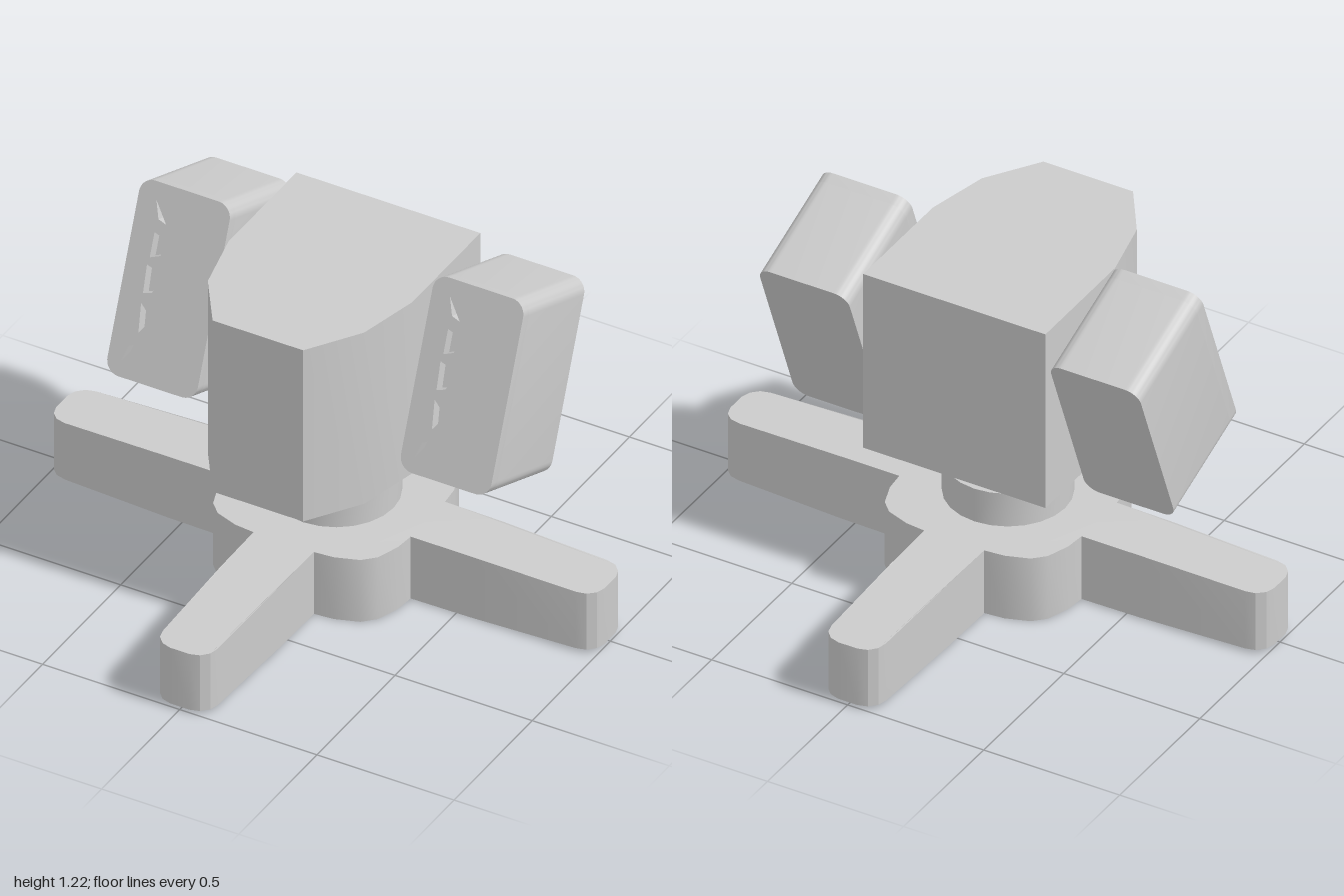
import * as THREE from 'three';
import { toCreasedNormals } from 'three/addons/utils/BufferGeometryUtils.js';

const material = new THREE.MeshStandardMaterial({ color: 0xcccccc });

function part(name, geometry, parent) {
  const mesh = new THREE.Mesh(toCreasedNormals(geometry, 0.5), material);
  mesh.name = name;
  parent.add(mesh);
  return mesh;
}

const toShape = (points) => new THREE.Shape(points.map(([x, y]) => new THREE.Vector2(x, y)));

// Upright prism from a plan outline given as [x, z]
function prism(plan, y0, y1) {
  const shape = toShape(plan.map(([x, z]) => [x, -z]));
  return new THREE.ExtrudeGeometry(shape, { depth: y1 - y0, bevelEnabled: false })
    .rotateX(-Math.PI / 2).translate(0, y0, 0);
}

function roundedRect(w, h, r) {
  const s = new THREE.Shape();
  [[w / 2 - r, h / 2 - r, 0], [r - w / 2, h / 2 - r, 1], [r - w / 2, r - h / 2, 2], [w / 2 - r, r - h / 2, 3]]
    .forEach(([x, y, q]) => s.absarc(x, y, r, q * Math.PI / 2, (q + 1) * Math.PI / 2, false));
  return s;
}

// Four-legged foot: one leg and one hub corner, repeated by quarter turns
function footGeometry() {
  const quarter = [
    [0.335, -0.11], [0.55, -0.108], [0.93, -0.1], [0.965, -0.092], [0.99, -0.068], [1, -0.035],
    [1, 0.035], [0.99, 0.068], [0.965, 0.092], [0.93, 0.1], [0.55, 0.108], [0.335, 0.11],
    [0.328, 0.18], [0.3, 0.26], [0.26, 0.3], [0.18, 0.328],
  ];
  const plan = [];
  for (let i = 0; i < 4; i++) {
    const c = Math.round(Math.cos(i * Math.PI / 2)), s = Math.round(Math.sin(i * Math.PI / 2));
    quarter.forEach(([x, z]) => plan.push([x * c - z * s, x * s + z * c]));
  }
  // Outline runs clockwise seen from above; the extrusion fixes its winding
  const g = prism(plan, 0, 0.24);
  const p = g.attributes.position;
  for (let i = 0; i < p.count; i++) {
    // Legs thin slightly towards their tips
    const t = Math.max(0, Math.hypot(p.getX(i), p.getZ(i)) - 0.5) * 2;
    p.setY(i, 0.12 + (p.getY(i) - 0.12) * (1 - 0.1 * t));
  }
  return g;
}

// Tilted box pod with a column of shallow ports in its front face
function createPod(x) {
  const pod = new THREE.Group();
  pod.name = 'sidePod';
  const w = 0.33, h = 0.658, d = 0.418, recess = 0.04;
  const ports = [
    [[-0.1, 0.27], [-0.05, 0.2], [-0.08, 0.21]],
    [[-0.085, 0.165], [-0.055, 0.155], [-0.036, 0.126], [-0.05, 0.095], [-0.085, 0.08]],
    [[-0.09, 0.055], [-0.055, 0.045], [-0.032, 0.008], [-0.055, -0.03], [-0.085, -0.04]],
    [[-0.085, -0.073], [-0.036, -0.115], [-0.075, -0.17]],
    [[-0.115, -0.275], [-0.1, -0.222], [-0.07, -0.207]],
  ];
  const face = roundedRect(w, h, 0.05);
  ports.forEach((pts) => face.holes.push(toShape(pts)));
  const opts = (depth) => ({ depth, bevelEnabled: false, curveSegments: 5 });
  part('podCasing', new THREE.ExtrudeGeometry(roundedRect(w, h, 0.05), opts(d - recess))
    .translate(0, 0, -d / 2), pod);
  part('podFace', new THREE.ExtrudeGeometry(face, opts(recess))
    .translate(0, 0, d / 2 - recess), pod);
  pod.position.set(x, 0.835, -0.0625);
  pod.rotation.x = -0.37;
  return pod;
}

export function createModel() {
  const model = new THREE.Group();
  model.name = 'turret';

  part('foot', footGeometry(), model);

  // Stepped swivel column: radius, bottom, top
  [['collar', 0.21, 0.23, 0.365], ['swivelRing', 0.183, 0.36, 0.392], ['neck', 0.15, 0.38, 0.49]]
    .forEach(([name, r, y0, y1]) => {
      part(name, new THREE.CylinderGeometry(r, r, y1 - y0, 24), model).position.y = (y0 + y1) / 2;
    });

  // Body with a tapered nose
  const side = [[0.335, -0.335], [0.335, 0.1], [0.285, 0.32], [0.165, 0.5]];
  const plan = [...side, ...side.map(([x, z]) => [-x, z]).reverse()];
  part('body', prism(plan, 0.48, 1.145), model);

  // Axle through the body carrying the two pods
  const axle = part('axle', new THREE.CylinderGeometry(0.095, 0.095, 0.78, 20).rotateZ(Math.PI / 2), model);
  axle.position.set(0, 0.815, -0.11);
  [-1, 1].forEach((s) => model.add(createPod(s * 0.535)));

  return model;
}
